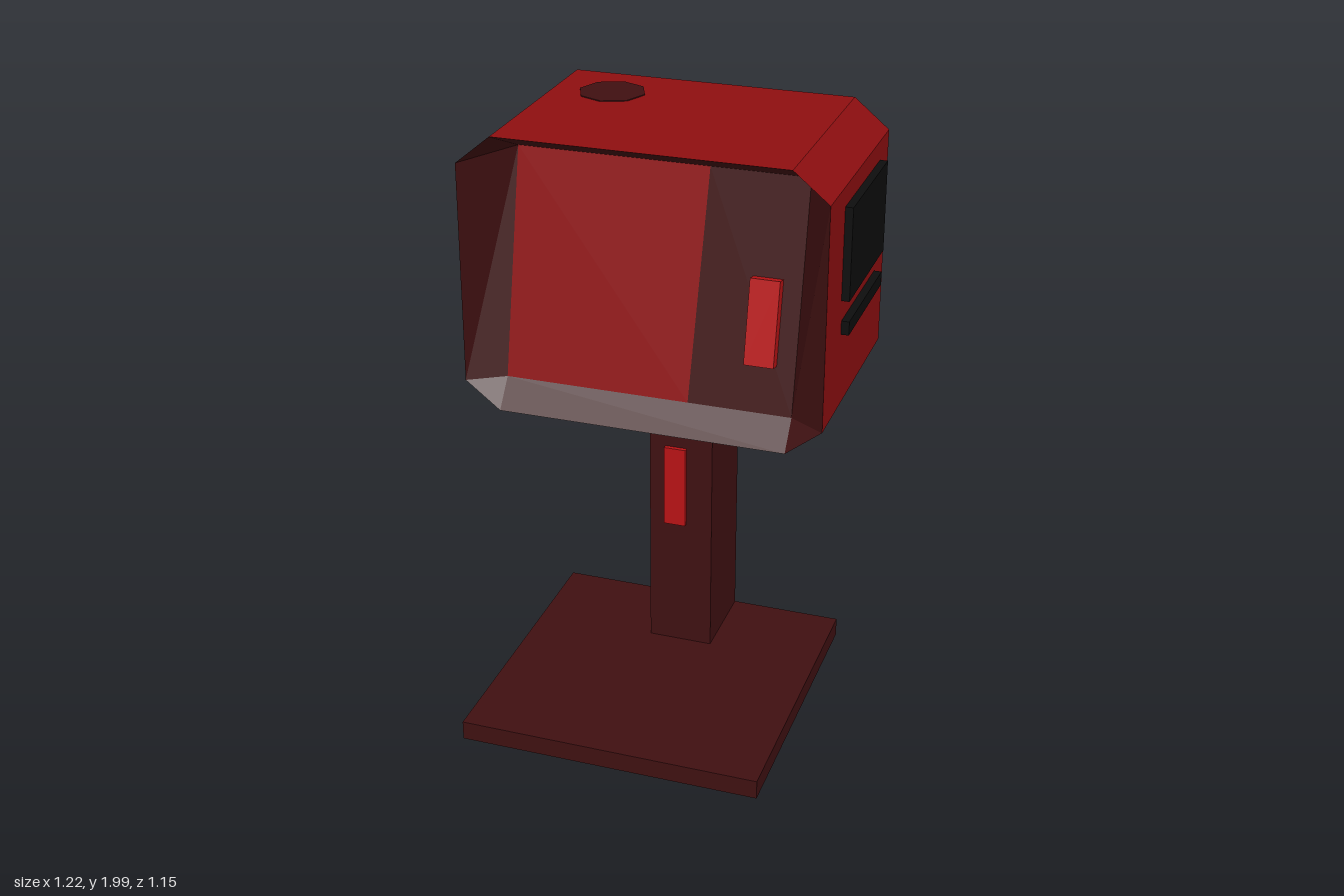
import * as THREE from 'three';

const mat = (color) => new THREE.MeshStandardMaterial({ color, flatShading: true });
const red = mat(0x8e0e10);
const brightRed = mat(0xb81315);
const dark = mat(0x3f1011);
const black = mat(0x0d0d0d);

// Flat polygons (counter-clockwise corner lists), fanned into triangles
function polyMesh(name, polys, material) {
  const pos = [];
  for (const p of polys)
    for (let i = 1; i < p.length - 1; i++) pos.push(...p[0], ...p[i], ...p[i + 1]);
  const g = new THREE.BufferGeometry();
  g.setAttribute('position', new THREE.Float32BufferAttribute(pos, 3));
  g.computeVertexNormals();
  const m = new THREE.Mesh(g, material);
  m.name = name;
  return m;
}

// Box given by its extents on each axis
function box(name, [x0, x1], [y0, y1], [z0, z1], material) {
  const m = new THREE.Mesh(new THREE.BoxGeometry(x1 - x0, y1 - y0, z1 - z0), material);
  m.position.set((x0 + x1) / 2, (y0 + y1) / 2, (z0 + z1) / 2);
  m.name = name;
  return m;
}

// Side walls between two rings of equal length
const loft = (a, b) => a.map((p, i) => {
  const j = (i + 1) % a.length;
  return [p, b[i], b[j], a[j]];
});

export function createModel() {
  const model = new THREE.Group();
  model.name = 'payphone';

  // Foot and post
  model.add(box('basePlate', [-0.52, 0.49], [0, 0.065], [-0.435, 0.575], dark));
  model.add(box('post', [-0.11, 0.11], [0.06, 1.09], [-0.435, -0.135], dark));
  model.add(box('postLabel', [-0.055, 0.02], [0.53, 0.82], [-0.14, -0.12], brightRed));

  // Hood: octagonal tube, chamfered towards the back, with a sloping recess in front
  const W = 0.585, w = 0.47, top = 1.99, high = 1.895, low = 1.17, bottom = 1.08;
  const octagon = (z) => [
    [W, low, z], [W, high, z], [w, top, z], [-w, top, z],
    [-W, high, z], [-W, low, z], [-w, bottom, z], [w, bottom, z],
  ];
  const slopeZ = (y) => 0.21 - (y - low) * 0.208;
  const rect = (zAt) => [[w, low], [w, high], [-w, high], [-w, low]].map(([x, y]) => [x, y, zAt(y)]);
  // Repeat the rectangle's corners so they match the octagon
  const toEight = ([a, b, c, d]) => [a, b, b, c, c, d, d, a];
  const front = octagon(0.28), rear = octagon(-0.455);
  const back = rect(() => -0.545), recess = rect(slopeZ);

  const hood = new THREE.Group();
  hood.name = 'hood';
  hood.add(polyMesh('hoodShell',
    [...loft(front, rear), ...loft(rear, toEight(back)), back.slice().reverse()], red));
  hood.add(polyMesh('recessSides', loft(toEight(recess), front), dark));

  // Sloping face, split into a red panel and a dark panel
  const seamLow = [0.135, low, slopeZ(low)], seamHigh = [0.155, high, slopeZ(high)];
  hood.add(polyMesh('dialPanel', [[seamLow, seamHigh, recess[2], recess[3]]], red));
  hood.add(polyMesh('handsetPanel', [[recess[0], recess[1], seamHigh, seamLow]], dark));

  const handset = box('handset', [0.315, 0.41], [1.32, 1.59], [0.13, 0.19], brightRed);
  handset.rotation.x = -Math.atan(0.208);
  hood.add(handset);

  // Octagonal cap set flush in the roof
  const cap = new THREE.Mesh(new THREE.CylinderGeometry(0.11, 0.11, 0.01, 8), dark);
  cap.position.set(-0.275, top - 0.002, -0.26);
  cap.name = 'roofCap';
  hood.add(cap);

  // Black sign and strip on both sides and the back
  for (const [part, y, inset] of [['Sign', [1.53, 1.83], 0], ['Strip', [1.415, 1.46], 0.01]]) {
    const z = [-0.345 + inset, 0.1 - inset];
    hood.add(box('left' + part, [W - 0.01, 0.61], y, z, black));
    hood.add(box('right' + part, [-0.61, 0.01 - W], y, z, black));
    hood.add(box('back' + part, [-0.225 + inset, 0.225 - inset], y, [-0.577, -0.535], black));
  }
  model.add(hood);
  return model;
}
